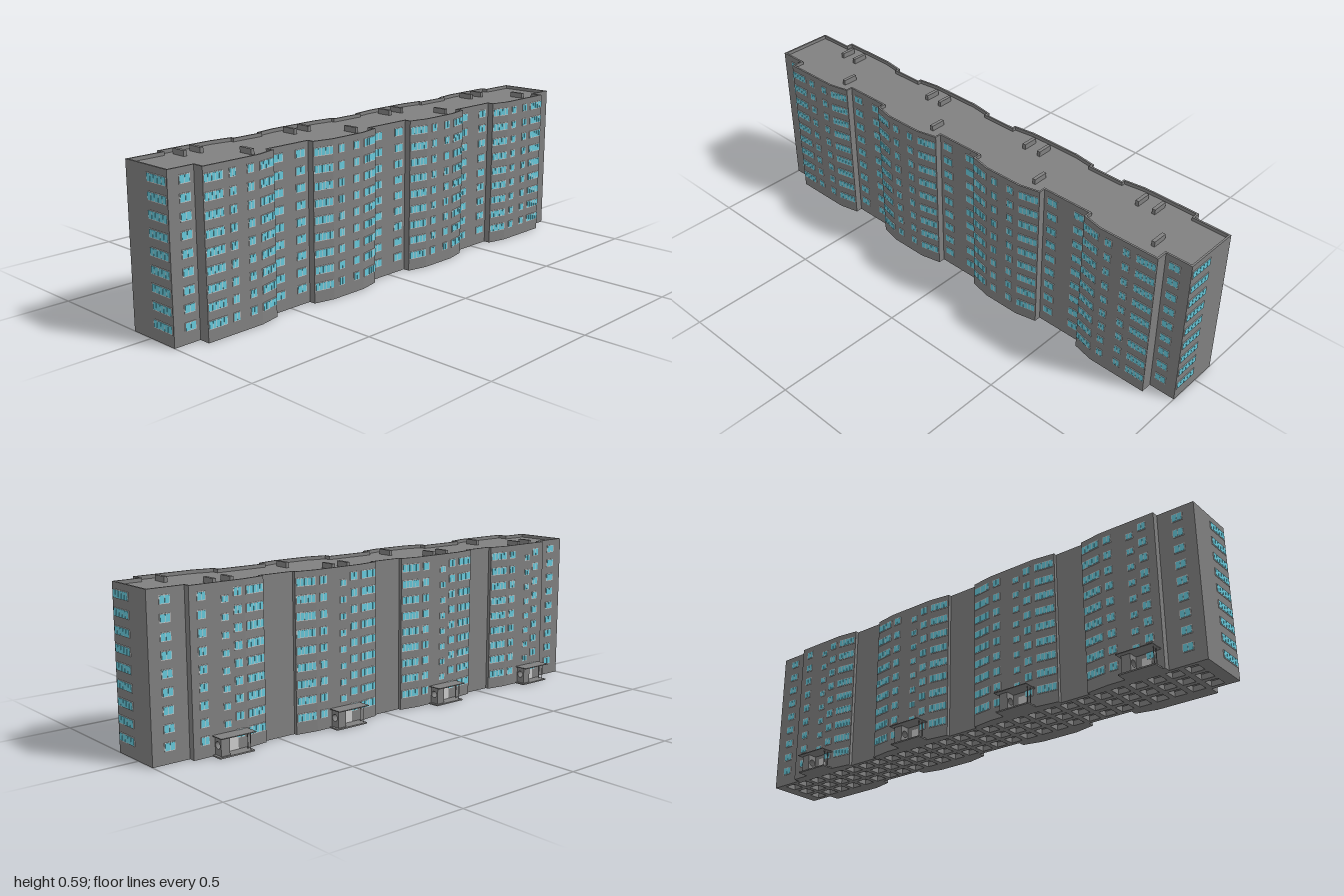
import * as THREE from 'three';
import { mergeGeometries } from 'three/addons/utils/BufferGeometryUtils.js';

const WALL_R = 0.125, WALL_L = -0.092, BAY_R = 0.168, BAY_L = -0.117;
const SECTIONS = [0.742, 0.255, -0.243, -0.745];
const FLOORS = 9, FLOOR_Y = 0.06, FLOOR_H = 0.0608;

const wallMat = new THREE.MeshStandardMaterial({ color: 0x808080, flatShading: true });
const frameMat = new THREE.MeshStandardMaterial({ color: 0xcccccc, flatShading: true });
const glassMat = new THREE.MeshStandardMaterial({ color: 0x66c8da, flatShading: true });

// A bay has slanted ends, except the square outer end of the first and last section
const isOuter = (c, s) => Math.abs(c) > 0.5 && Math.sign(c) === s;

// Plan outline, counter-clockwise in (x, -z)
function footprint() {
  const pts = [];
  const add = (x, z) => pts.push(new THREE.Vector2(x, -z));
  add(WALL_L, 1);
  add(WALL_R, 1);
  for (const c of SECTIONS) {
    for (const s of [1, -1]) {
      const end = [
        [WALL_R, c + s * 0.155],
        [isOuter(c, s) ? BAY_R : 0.15, c + s * 0.155],
        [BAY_R, c + s * 0.075],
      ];
      if (s < 0) end.reverse();
      end.forEach((p) => add(...p));
    }
  }
  add(WALL_R, -1);
  add(WALL_L, -1);
  for (const c of [...SECTIONS].reverse()) {
    for (const s of [-1, 1]) {
      const z = isOuter(c, s) ? s * 0.86 : c + s * 0.185;
      const end = [
        [WALL_L, z],
        [isOuter(c, s) ? BAY_L : -0.105, z],
        [BAY_L, c + s * 0.1],
      ];
      if (s > 0) end.reverse();
      end.forEach((p) => add(...p));
    }
  }
  return pts;
}

// Mitred inward offset of a counter-clockwise outline
function inset(pts, d) {
  const n = pts.length;
  const normal = (a, b) => new THREE.Vector2(a.y - b.y, b.x - a.x).normalize();
  return pts.map((p, i) => {
    const n1 = normal(pts[(i + n - 1) % n], p), n2 = normal(p, pts[(i + 1) % n]);
    const k = d / (1 + n1.dot(n2));
    return p.clone().addScaledVector(n1.add(n2), k);
  });
}

// Extrude a plan upwards from y0 to y1
function rise(outline, holes, y0, y1) {
  const shape = new THREE.Shape(outline);
  shape.holes = holes.map((h) => new THREE.Path(h));
  const g = new THREE.ExtrudeGeometry(shape, { depth: y1 - y0, bevelEnabled: false });
  return g.rotateX(-Math.PI / 2).translate(0, y0, 0);
}

function createModel() {
  const model = new THREE.Group();
  const mesh = (name, geo, mat = wallMat, parent = model) => {
    const m = new THREE.Mesh(geo, mat);
    m.name = name;
    parent.add(m);
    return m;
  };
  const box = (w, h, d, x, y, z) => new THREE.BoxGeometry(w, h, d).translate(x, y, z);

  // Foundation with open square cells underneath
  const plan = footprint();
  const cells = [];
  for (let i = 0; i < 28; i++) {
    for (const x of [-0.052, 0.016, 0.084]) {
      const z = -0.93 + i * (1.86 / 27), r = 0.024;
      cells.push([[-r, -r], [r, -r], [r, r], [-r, r]].map(([a, b]) => new THREE.Vector2(x + a, z + b)));
    }
  }
  mesh('foundation', rise(plan, cells, 0, 0.02));

  // Walls, roof deck and parapet
  mesh('walls', rise(plan, [], 0.02, 0.572));
  mesh('parapet', rise(plan, [inset(plan, 0.007)], 0.572, 0.585));

  // Windows: frame slab with panes just proud of it
  const frames = [], panes = [];
  function addWindow(x, y, z, w, count, angle, h = 0.03) {
    const place = (g) => g.rotateY(angle).translate(x, y, z);
    frames.push(place(box(w, h, 0.004, 0, 0, 0)));
    const gap = 0.0022, pw = (w - gap * (count + 1)) / count;
    for (let i = 0; i < count; i++) {
      const px = -w / 2 + gap + pw / 2 + i * (pw + gap);
      panes.push(place(box(pw, h - 2 * gap, 0.002, px, 0, 0.002)));
    }
  }

  const R = Math.PI / 2;
  for (let f = 0; f < FLOORS; f++) {
    const y = FLOOR_Y + f * FLOOR_H;
    // End walls
    addWindow(0.07, y, 1, 0.1, 5, 0);
    addWindow(0.07, y, -1, 0.1, 5, Math.PI);
    for (const s of [1, -1]) {
      addWindow(WALL_L, y, s * 0.935, 0.04, 2, -R);
    }
    for (const c of SECTIONS) {
      // Garden side: flanking, balcony and small windows
      for (const s of [1, -1]) {
        addWindow(WALL_R, y, c + s * 0.193, 0.043, 2, R);
        if (isOuter(c, s)) addWindow(BAY_R, y, c + s * 0.115, 0.077, 5, R);
        else addWindow(0.159, y, c + s * 0.115, 0.077, 5, R - s * 0.22);
        addWindow(BAY_R, y, c + s * 0.037, 0.028, 2, R);
      }
      // Entrance side: balcony windows, rooms and stairwell
      for (const s of [1, -1]) {
        if (!isOuter(c, s)) {
          addWindow(-0.111, y, c + s * 0.143, 0.077, 5, -R + s * 0.14);
        }
        addWindow(BAY_L, y, c + s * 0.07, 0.032, 2, -R);
      }
      if (f > 0) addWindow(BAY_L, y - 0.02, c + 0.02, 0.028, 2, -R, 0.024);
    }
  }
  mesh('windowFrames', mergeGeometries(frames), frameMat);
  mesh('windowPanes', mergeGeometries(panes), glassMat);

  // Roof vents
  const vents = [];
  SECTIONS.forEach((c) => {
    for (const [x, dz] of [[-0.056, 0.004], [-0.056, 0.072], [0.084, -0.096]]) {
      vents.push(box(0.058, 0.02, 0.013, x, 0.582, c + dz));
    }
  });
  mesh('roofVents', mergeGeometries(vents));

  // Entrance porches
  const screen = new THREE.Shape();
  screen.moveTo(-0.153, 0.005).lineTo(-0.115, 0.005).lineTo(-0.115, 0.07).lineTo(-0.153, 0.07).closePath();
  screen.holes.push(new THREE.Path().absarc(-0.133, 0.04, 0.013, 0, Math.PI * 2, true));
  const screenGeo = new THREE.ExtrudeGeometry(screen, { depth: 0.035, bevelEnabled: false, curveSegments: 16 });
  [0.781, 0.281, -0.217, -0.717].forEach((z) => {
    const porch = new THREE.Group();
    porch.name = 'entrancePorch';
    porch.position.z = z;
    mesh('canopy', box(0.06, 0.003, 0.14, -0.142, 0.071, 0), wallMat, porch);
    mesh('step', box(0.046, 0.005, 0.14, -0.138, 0.0025, 0), wallMat, porch);
    mesh('screen', screenGeo, wallMat, porch).position.z = -0.06;
    for (const x of [-0.15, -0.133]) {
      const post = new THREE.CylinderGeometry(0.0015, 0.0015, 0.066, 8).translate(x, 0.037, 0.06);
      mesh('post', post, wallMat, porch);
    }
    mesh('door', box(0.003, 0.05, 0.035, BAY_L, 0.03, 0.015), frameMat, porch);
    model.add(porch);
  });
  return model;
}

export { createModel };
